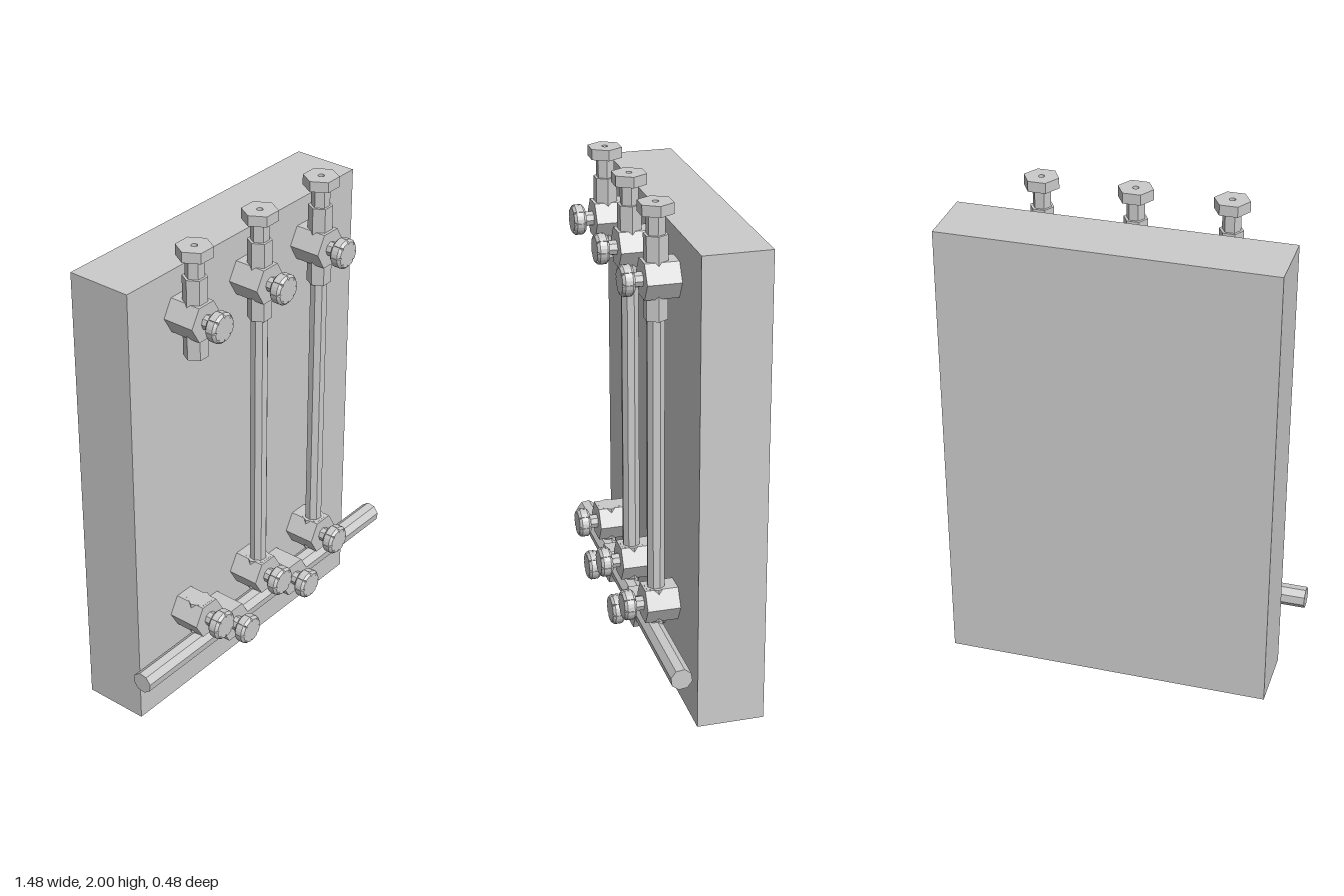
import * as THREE from 'three';

const mat = new THREE.MeshStandardMaterial({ color: 0xcccccc, flatShading: true });
const PIPE_Z = 0.103;

function add(parent, name, geometry, x = 0, y = 0, z = 0) {
  const mesh = new THREE.Mesh(geometry, mat);
  mesh.name = name;
  mesh.position.set(x, y, z);
  parent.add(mesh);
  return mesh;
}

// Prism along y with a corner pointing to +x
function prism(r, h, sides = 6, turn = Math.PI / 2) {
  return new THREE.CylinderGeometry(r, r, h, sides).rotateY(turn);
}

// Prism along z with a corner pointing to +x
function frontPrism(r, depth, sides = 6) {
  return prism(r, depth, sides).rotateX(Math.PI / 2);
}

// Grip with shallow notches round its rim
function knobGeometry() {
  const pts = [];
  const lobes = 8;
  for (let i = 0; i < lobes; i++) {
    const a = (i / lobes) * Math.PI * 2;
    for (const [da, r] of [[-0.28, 0.05], [-0.1, 0.05], [0, 0.042], [0.1, 0.05], [0.28, 0.05]]) {
      pts.push(new THREE.Vector2(Math.cos(a + da) * r, Math.sin(a + da) * r));
    }
  }
  return new THREE.ExtrudeGeometry(new THREE.Shape(pts), {
    depth: 0.028, bevelEnabled: true, bevelThickness: 0.01, bevelSize: 0.009, bevelSegments: 1,
  });
}

// Hexagonal body with a stem and a turning knob at the front
function valve(name, x, y) {
  const g = new THREE.Group();
  g.name = name;
  g.position.set(x, y, 0);
  add(g, 'valveBody', frontPrism(0.08, 0.13), 0, 0, 0.09);
  add(g, 'valveStem', frontPrism(0.029, 0.05, 8), 0, 0, 0.175);
  add(g, 'knob', knobGeometry(), 0, 0, 0.2);
  return g;
}

// Hexagonal nut with a small hole in its top
function capGeometry() {
  const shape = new THREE.Shape();
  for (let i = 0; i < 6; i++) {
    const a = (i * Math.PI) / 3;
    shape[i ? 'lineTo' : 'moveTo'](Math.cos(a) * 0.069, Math.sin(a) * 0.069);
  }
  shape.holes.push(new THREE.Path().absarc(0, 0, 0.012, 0, Math.PI * 2, true));
  return new THREE.ExtrudeGeometry(shape, { depth: 0.042, bevelEnabled: false, curveSegments: 8 })
    .rotateX(-Math.PI / 2);
}

export function createModel() {
  const model = new THREE.Group();
  model.name = 'valvePanel';

  add(model, 'backBoard', new THREE.BoxGeometry(1.31, 1.89, 0.265), 0, 0.945, -0.1075);

  // Horizontal supply pipe and its two valves
  const pipe = prism(0.043, 1.48, 8, 0.25).rotateZ(Math.PI / 2);
  add(model, 'mainPipe', pipe, 0, 0.272, 0.113);
  for (const x of [-0.225, 0.16]) model.add(valve('mainPipeValve', x, 0.275));

  // Three risers; the first has no long pipe between its valves
  [-0.385, -0.02, 0.345].forEach((x, i) => {
    const riser = new THREE.Group();
    riser.name = 'riser';
    riser.position.x = x;
    model.add(riser);

    riser.add(valve('lowerValve', 0, 0.393));
    add(riser, 'lowerSocket', prism(0.05, 0.138), 0, 0.394, PIPE_Z);
    add(riser, 'branchPipe', prism(0.031, 0.1, 8), 0, 0.31, PIPE_Z);

    if (i > 0) add(riser, 'longPipe', prism(0.035, 1.12, 8, 0.25), 0, 1.01, PIPE_Z);

    riser.add(valve('upperValve', 0, 1.713));
    add(riser, 'upperSocket', prism(0.047, 0.322), 0, 1.719, PIPE_Z);
    add(riser, 'capNeck', prism(0.036, 0.1), 0, 1.92, PIPE_Z);
    add(riser, 'topCap', capGeometry(), 0, 1.958, PIPE_Z);
  });

  return model;
}
